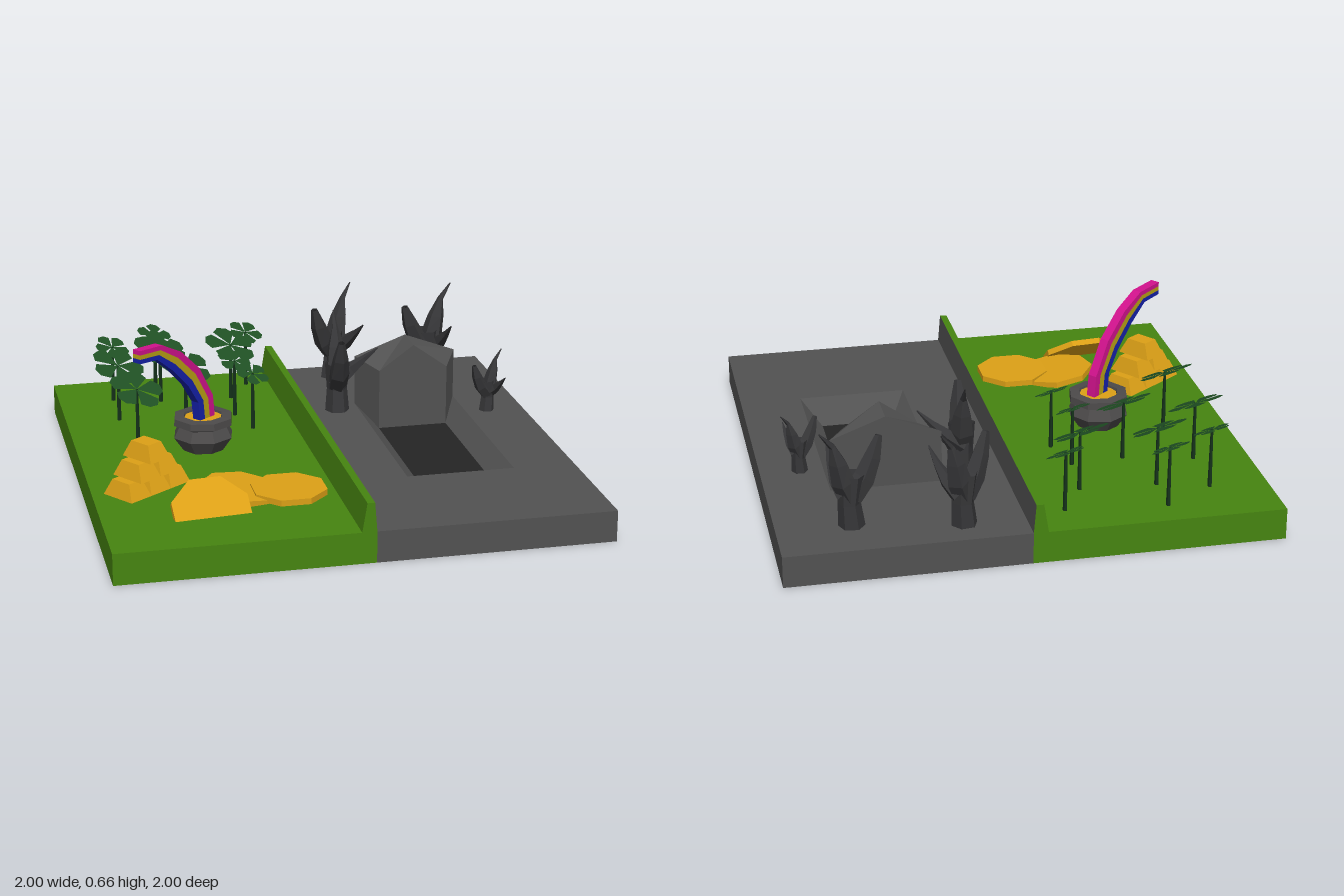
import * as THREE from 'three';

const mat = (color) => new THREE.MeshStandardMaterial({ color, flatShading: true, side: THREE.DoubleSide });
const GREEN = mat(0x468410), GREY = mat(0x525252), PIT = mat(0x242424), DARK = mat(0x363638);
const GOLD = mat(0xdca016), LEAF = mat(0x1f5024), TRUNK = mat(0x14301a), POT = mat(0x4c4a4a);
const GROUND = 0.13;

function add(parent, name, geometry, material, x = 0, y = 0, z = 0) {
  const mesh = new THREE.Mesh(geometry, material);
  mesh.name = name;
  mesh.position.set(x, y, z);
  parent.add(mesh);
  return mesh;
}

// Flat polygons (each an ordered list of corners) as one faceted surface
function polygons(list) {
  const p = [];
  for (const f of list)
    for (let i = 1; i < f.length - 1; i++) p.push(...f[0], ...f[i], ...f[i + 1]);
  const g = new THREE.BufferGeometry();
  g.setAttribute('position', new THREE.Float32BufferAttribute(p, 3));
  g.computeVertexNormals();
  return g;
}

// Quads joining two loops of equal length
const bridge = (a, b) => a.map((p, i) => {
  const j = (i + 1) % a.length;
  return [p, a[j], b[j], b[i]];
});

const rect = (x0, x1, z0, z1, y) => [[x0, y, z1], [x1, y, z1], [x1, y, z0], [x0, y, z0]];

// Tapering limb along a bent line
function limb(points, radii, sides = 5) {
  const curve = new THREE.CatmullRomCurve3(points.map((p) => new THREE.Vector3(...p)), false, 'catmullrom', 0.2);
  const n = radii.length - 1;
  const g = new THREE.TubeGeometry(curve, n, 1, sides);
  const pos = g.attributes.position, v = new THREE.Vector3();
  for (let i = 0; i < pos.count; i++) {
    const ring = Math.floor(i / (sides + 1)), c = curve.getPointAt(ring / n);
    v.fromBufferAttribute(pos, i).sub(c).multiplyScalar(radii[ring]).add(c);
    pos.setXYZ(i, v.x, v.y, v.z);
  }
  g.computeVertexNormals();
  return g;
}

// Two open-bottomed halves of the land, with the dividing bank between them
function land(root) {
  const y = GROUND, e = 0.025, t = 0.015, h = 0.25;
  const ends = [1, -1].flatMap((z) => [
    [[-1, 0, z], [e, 0, z], [e, y, z], [-1, y, z]],
    [[-0.035, y, z], [e, y, z], [t, h, z], [-t, h, z]],
  ]);
  add(root, 'meadow', polygons([
    rect(-1, -0.035, -1, 1, y),
    [[-1, 0, -1], [-1, 0, 1], [-1, y, 1], [-1, y, -1]],
    [[-0.035, y, 1], [-t, h, 1], [-t, h, -1], [-0.035, y, -1]].reverse(),
    rect(-t, t, -1, 1, h),
    ...ends,
  ]), GREEN);

  const rim = rect(0.285, 0.74, -0.47, 0.46, y), floor = rect(0.36, 0.665, -0.315, 0.305, 0.06);
  add(root, 'graveGround', polygons([
    ...bridge(rect(e, 1, -1, 1, y), rim),
    ...bridge(rim, floor),
    [[1, 0, 1], [1, 0, -1], [1, y, -1], [1, y, 1]],
    ...[1, -1].map((z) => [[e, 0, z], [1, 0, z], [1, y, z], [e, y, z]]),
    [[e, y, 1], [e, y, -1], [t, h, -1], [t, h, 1]],
  ]), GREY);
  add(root, 'graveFloor', polygons([floor]), PIT);

  // Gabled headstone, narrower at its front
  const gable = (x0, x1, z, base, eave) =>
    [[x0, base, z], [x1, base, z], [x1, eave, z], [0.513, 0.435, z], [x0, eave, z]];
  const front = gable(0.36, 0.665, -0.315, 0.06, 0.325), back = gable(0.285, 0.74, -0.47, y, 0.35);
  add(root, 'headstone', polygons([front, [...back].reverse(), ...bridge(back, front)]), GREY);
}

function deadTree(root, x, z, degrees, scale) {
  const tree = new THREE.Group();
  tree.name = 'deadTree';
  add(tree, 'trunk', limb([[0, -0.02, 0], [0.01, 0.1, 0], [0, 0.22, 0]], [0.055, 0.045, 0.055], 6), DARK);
  add(tree, 'tallBranch', limb([[0, 0.12, 0], [0.05, 0.24, 0], [0.06, 0.33, 0], [0.135, 0.42, 0]],
    [0.045, 0.05, 0.038, 0.014, 0.003]), DARK);
  add(tree, 'thickBranch', limb([[0, 0.12, 0], [-0.07, 0.2, 0], [-0.1, 0.27, 0], [-0.13, 0.35, 0]],
    [0.045, 0.045, 0.035, 0.015]), DARK);
  add(tree, 'sideBranch', limb([[0.02, 0.13, 0], [0.03, 0.19, 0.08], [0, 0.28, 0.18]],
    [0.045, 0.032, 0.016, 0.003]), DARK);
  tree.position.set(x, GROUND, z);
  tree.rotation.y = THREE.MathUtils.degToRad(degrees);
  tree.scale.setScalar(scale);
  root.add(tree);
}

// Thin stem with five blunt petals leaning toward the front
function leafTree(root, x, z, r, turn) {
  const tree = new THREE.Group();
  tree.name = 'leafTree';
  tree.position.set(x, 0, z);
  const petal = [[0, 0], [0.72, -0.42], [0.97, -0.2], [1, 0.15], [0.75, 0.42]];
  const faces = [];
  for (let i = 0; i < 5; i++) {
    const a = turn + (i * Math.PI * 2) / 5, c = Math.cos(a) * r, s = Math.sin(a) * r;
    faces.push(petal.map(([u, v]) => [u * c - v * s, 0, -u * s - v * c]));
  }
  const crown = add(tree, 'crown', polygons(faces), LEAF, 0, 0.38, 0);
  crown.quaternion.setFromUnitVectors(new THREE.Vector3(0, 1, 0), new THREE.Vector3(0.24, 0.9, 0.35).normalize());
  add(tree, 'stem', new THREE.CylinderGeometry(0.006, 0.01, 0.27, 5), TRUNK, 0, 0.245, 0);
  root.add(tree);
}

// Pot filled with gold
function pot(root) {
  const profile = [[0.085, 0.125], [0.13, 0.19], [0.108, 0.235], [0.13, 0.245], [0.128, 0.275], [0.085, 0.278], [0.08, 0.255]];
  add(root, 'pot', new THREE.LatheGeometry(profile.map((p) => new THREE.Vector2(...p)), 8, 0.2), POT, -0.47, 0, -0.055);
  add(root, 'potGold', new THREE.CylinderGeometry(0.083, 0.083, 0.01, 8), GOLD, -0.47, 0.264, -0.055);
}

// Three stacked bands on an arc, given as [distance, height] for the outer and inner edge
function rainbow(root) {
  const outer = [[0, 0.26], [0.01, 0.36], [0.09, 0.5], [0.2, 0.6], [0.31, 0.655], [0.44, 0.662]];
  const inner = [[0.09, 0.26], [0.1, 0.35], [0.16, 0.44], [0.25, 0.53], [0.34, 0.6], [0.44, 0.607]];
  const group = new THREE.Group();
  group.name = 'rainbow';
  [['pinkBand', 0xd0128c], ['yellowBand', 0xb8a014], ['blueBand', 0x1420a8]].forEach(([name, color], k) => {
    const rings = outer.map((o, i) => {
      const at = (f, w) => {
        const s = THREE.MathUtils.lerp(o[0], inner[i][0], f), y = THREE.MathUtils.lerp(o[1], inner[i][1], f);
        return [-0.43 - 0.79 * s + 0.62 * w, y, -0.08 + 0.62 * s + 0.79 * w];
      };
      const a = k / 3, b = (k + 1) / 3, w = 0.02;
      return [at(a, -w), at(a, w), at(b, w), at(b, -w)];
    });
    const faces = [rings[0], [...rings[5]].reverse()];
    for (let i = 0; i < 5; i++) faces.push(...bridge(rings[i], rings[i + 1]));
    add(group, name, polygons(faces), mat(color));
  });
  root.add(group);
}

// Stack of bars in rows of three, two and one
function goldBars(root) {
  const stack = new THREE.Group();
  stack.name = 'goldBars';
  for (let row = 0; row < 3; row++)
    for (let i = 0; i < 3 - row; i++) {
      const bar = rect(-0.055, 0.055, -0.08, 0.08, 0), top = rect(-0.036, 0.036, -0.048, 0.048, 0.067);
      add(stack, 'goldBar', polygons([bar, top, ...bridge(bar, top)]), GOLD, (i - (2 - row) / 2) * 0.11, row * 0.067, 0);
    }
  stack.position.set(-0.77, GROUND, 0.35);
  stack.rotation.y = 0.63;
  root.add(stack);
}

// Eight-sided coins: one flat, one slightly raised, one half buried
function coins(root) {
  const coin = (r) => new THREE.CylinderGeometry(r, r, 0.025, 8).rotateY(Math.PI / 8);
  add(root, 'flatCoin', coin(0.158), GOLD, -0.225, 0.147, 0.535);
  add(root, 'raisedCoin', coin(0.165), GOLD, -0.415, 0.147, 0.495).rotation.set(0.05, 0.2, -0.12);
  const buried = add(root, 'buriedCoin', coin(0.168), GOLD, -0.565, 0.135, 0.7);
  buried.rotation.order = 'YXZ';
  buried.rotation.set(0.72, 0.1, 0);
}

export function createModel() {
  const root = new THREE.Group();
  root.name = 'meadowAndGraveyard';
  land(root);
  pot(root);
  rainbow(root);
  goldBars(root);
  coins(root);
  [[-0.55, -0.87, 0.08], [-0.76, -0.74, 0.078], [-0.555, -0.68, 0.118], [-0.14, -0.83, 0.08], [-0.24, -0.66, 0.118],
    [-0.77, -0.475, 0.118], [-0.485, -0.41, 0.118], [-0.265, -0.43, 0.076], [-0.22, -0.245, 0.074], [-0.735, -0.145, 0.118],
  ].forEach(([x, z, r], i) => leafTree(root, x, z, r, 0.3 + i * 0.7));
  [[0.27, -0.86, 39, 1], [0.7, -0.785, 23, 1], [0.19, -0.4, 85, 1], [0.835, -0.26, 28, 0.63]]
    .forEach((t) => deadTree(root, ...t));
  return root;
}
